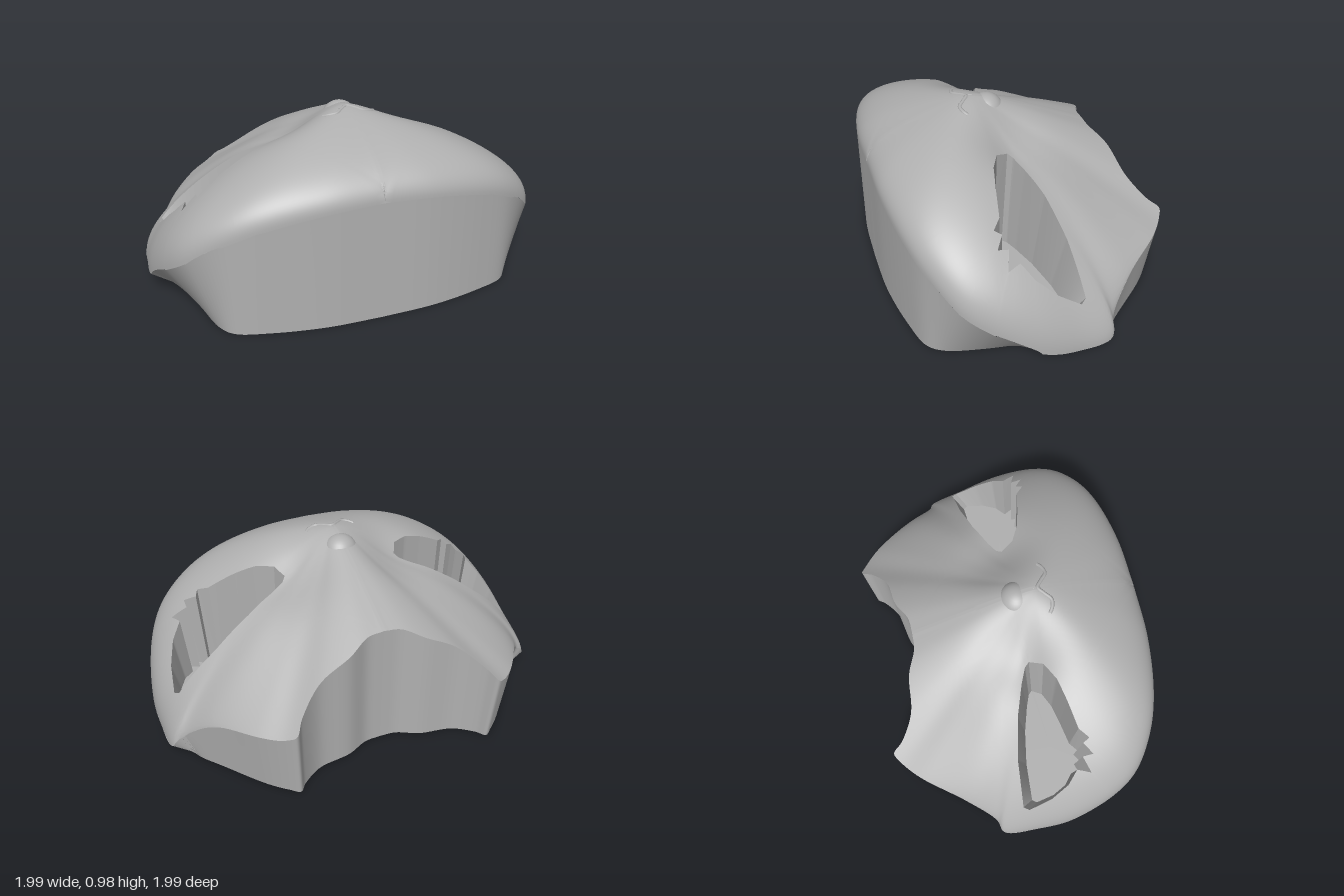
import * as THREE from 'three';
import { mergeGeometries, mergeVertices, toCreasedNormals } from 'three/addons/utils/BufferGeometryUtils.js';

const V = (x, y, z) => new THREE.Vector3(x, y, z);
const PEAK = { x: 0, y: 0.975, z: 0.1 };   // highest point of the face
const EYE = { x: 0.7, z: 0.03 };           // middle of the eye opening

// Half outline of the forehead notch: rim x, z, foot x, z
const NOTCH = [
  [0, -0.573, 0, -0.573], [0.09, -0.58, 0.09, -0.58], [0.21, -0.636, 0.21, -0.636],
  [0.39, -0.67, 0.39, -0.67], [0.51, -0.755, 0.5, -0.745], [0.556, -0.815, 0.54, -0.79],
  [0.6, -0.795, 0.59, -0.755], [0.707, -0.705, 0.68, -0.675],
];
// Half outline from ear to chin: rim x, z, foot x, z, rim height
const CHEEK = [
  [0.89, -0.474, 0.86, -0.46, 0.29], [1.01, -0.34, 0.95, -0.35, 0.16],
  [1.075, -0.315, 0.97, -0.3, 0.09], [1.1, -0.12, 0.95, -0.15, 0.08],
  [1.1, 0.08, 0.91, 0.08, 0.13], [1.04, 0.31, 0.87, 0.32, 0.28],
  [0.955, 0.45, 0.82, 0.5, 0.38], [0.79, 0.56, 0.76, 0.575, 0.5],
  [0.6, 0.625, 0.59, 0.63, 0.58], [0.3, 0.67, 0.3, 0.68, 0.64], [0, 0.675, 0, 0.69, 0.66],
];
// Edge of the full dome where the notch is cut away
const BROW = [[0, 0.58, -0.84], [0.2, 0.56, -0.84], [0.43, 0.47, -0.84], [0.62, 0.36, -0.8], [0.74, 0.34, -0.68]];
// Eye opening with three lash notches
const EYE_OUTLINE = [
  [0.99, -0.184], [0.77, -0.165], [0.57, -0.12], [0.417, -0.064], [0.345, -0.03], [0.325, -0.005],
  [0.36, 0.064], [0.453, 0.113], [0.566, 0.141], [0.707, 0.17], [0.76, 0.216], [0.778, 0.18],
  [0.838, 0.223], [0.838, 0.166], [0.92, 0.198], [0.89, 0.127], [0.948, 0.07], [0.99, -0.028], [1.01, -0.155],
].map(([x, z]) => V(x, 0, z));

const smooth = points => new THREE.CatmullRomCurve3(points).getPoints(8 * (points.length - 1));
const outline = [...NOTCH, ...CHEEK];
const domeEdge = smooth([...BROW.map(p => V(...p)), ...CHEEK.map(p => V(p[0], p[4], p[1]))]);
const rim = smooth(outline.map(p => V(p[0], 0, p[1])));
const foot = smooth(outline.map(p => V(p[2], 0, p[3])));
const midline = Array.from({ length: 40 }, (_, i) => V(0, 0, 0.675 - (i / 40) * 1.248));
const halfFace = [...rim, ...midline.slice(1)];

// Where a ray from o meets a polyline, seen from above
function hit(poly, o, dx, dz, closed) {
  const n = poly.length;
  let best = null, far = -1;
  for (let i = 0; i < (closed ? n : n - 1); i++) {
    const a = poly[i], b = poly[(i + 1) % n];
    const ex = b.x - a.x, ez = b.z - a.z, det = dx * ez - dz * ex;
    if (Math.abs(det) < 1e-12) continue;
    const ax = a.x - o.x, az = a.z - o.z;
    const r = (ax * ez - az * ex) / det, s = (ax * dz - az * dx) / det;
    if (r > 0 && s > -1e-5 && s < 1 + 1e-5 && r > far) { far = r; best = a.clone().lerp(b, s); }
  }
  return best;
}

// Height of the face: straight slope to the forehead, rounded cheeks and chin, hollow by each eye
function height(x, z) {
  const dx = Math.max(Math.abs(x), 1e-4), dz = z - PEAK.z, r = Math.hypot(dx, dz);
  const edge = hit(domeEdge, PEAK, dx / r, dz / r, false);
  if (!edge || r < 1e-3) return PEAK.y;
  const R = Math.hypot(edge.x, edge.z - PEAK.z), t = Math.min(1, r / R), k = 0.1;
  const soft = (Math.hypot(t, k) - k) / (Math.hypot(1, k) - k);
  const power = 1 - 0.55 * THREE.MathUtils.smoothstep(Math.atan2(dx, -dz), 0.5, 1.65);
  const hollow = 0.06 * Math.exp(-((dx - 0.3) ** 2 + (z + 0.04) ** 2) / 0.035);
  return edge.y + (PEAK.y - edge.y) * Math.pow(Math.max(0, 1 - soft), power) - hollow;
}
rim.forEach(p => { p.y = height(p.x, p.z); });

// Surface through rows of points, with its mirrored half
function mirroredLoft(rows, crease) {
  const w = rows[0].length;
  const halves = [1, -1].map(side => {
    const pos = [], index = [];
    rows.forEach(row => row.forEach(p => pos.push(Math.abs(p.x) < 1e-4 ? 0 : p.x * side, p.y, p.z)));
    for (let i = 0; i < rows.length - 1; i++) {
      for (let j = 0; j < w - 1; j++) {
        const a = i * w + j, b = a + 1, c = a + w, d = c + 1;
        if (side > 0) index.push(a, b, c, b, d, c);
        else index.push(a, c, b, b, c, d);
      }
    }
    const g = new THREE.BufferGeometry();
    g.setAttribute('position', new THREE.Float32BufferAttribute(pos, 3));
    g.setIndex(index);
    return g;
  });
  return toCreasedNormals(mergeVertices(mergeGeometries(halves), 1e-4), crease);
}

export function createModel() {
  const grey = new THREE.MeshStandardMaterial({ color: 0xb0b0b0 });
  grey.name = 'stone grey';
  const face = new THREE.Group();
  face.name = 'face';
  const add = (name, geometry) => {
    const mesh = new THREE.Mesh(geometry, grey);
    mesh.name = name;
    face.add(mesh);
    return mesh;
  };

  // Directions around the eye, following every outline corner
  let angles = [...EYE_OUTLINE, ...halfFace].map(p => Math.atan2(p.z - EYE.z, p.x - EYE.x));
  angles = angles.sort((a, b) => a - b).filter((a, i, all) => i === 0 || a - all[i - 1] > 1e-3);
  angles.push(angles[0]);
  const spokes = angles.map(a => {
    const c = Math.cos(a), s = Math.sin(a);
    return [hit(EYE_OUTLINE, EYE, c, s, true), hit(halfFace, EYE, c, s, true)];
  });

  // Skin from the eye openings out to the rim
  const ROWS = 26;
  const skin = [];
  for (let i = 0; i <= ROWS; i++) {
    const f = 1 - Math.pow(1 - i / ROWS, 2);
    skin.push(spokes.map(([a, b]) => {
      const p = a.clone().lerp(b, f);
      p.y = height(p.x, p.z);
      return p;
    }));
  }
  add('faceSkin', mirroredLoft(skin, 0.9));

  // Eye sockets: walls leaning in from brow and temple, and a flat floor
  const floorY = 0.2;
  const lean = p => V(0.4 + (p.x - 0.4) * 0.93, floorY, 0.12 + (p.z - 0.12) * 0.8);
  const floor = spokes.map(([a]) => lean(a));
  add('eyeSocketWalls', mirroredLoft([floor, skin[0]], 0.5));
  add('eyeSocketFloors', mirroredLoft([floor.map(() => lean(EYE)), floor], 0.5));

  // Side wall and flat underside
  add('sideWall', mirroredLoft([rim, foot], 0.6));
  add('underside', mirroredLoft([foot, foot.map(() => V(0, 0, PEAK.z))], 0.5));

  // Nose
  const nose = add('nose', new THREE.SphereGeometry(0.1, 32, 20));
  nose.position.set(0, 0.862, 0.005);

  // Wavy mouth lying on the skin
  const mouthPoints = [[-0.14, 0.148], [-0.115, 0.165], [-0.075, 0.172], [-0.035, 0.14], [0, 0.115],
    [0.035, 0.14], [0.075, 0.172], [0.115, 0.165], [0.14, 0.148]].map(([x, z]) => V(x, height(x, z) - 0.004, z));
  add('mouth', new THREE.TubeGeometry(new THREE.CatmullRomCurve3(mouthPoints), 48, 0.011, 8));

  // The face looks along the diagonal
  face.rotation.y = Math.PI / 4;
  const model = new THREE.Group();
  model.name = 'mask';
  model.add(face);
  return model;
}
